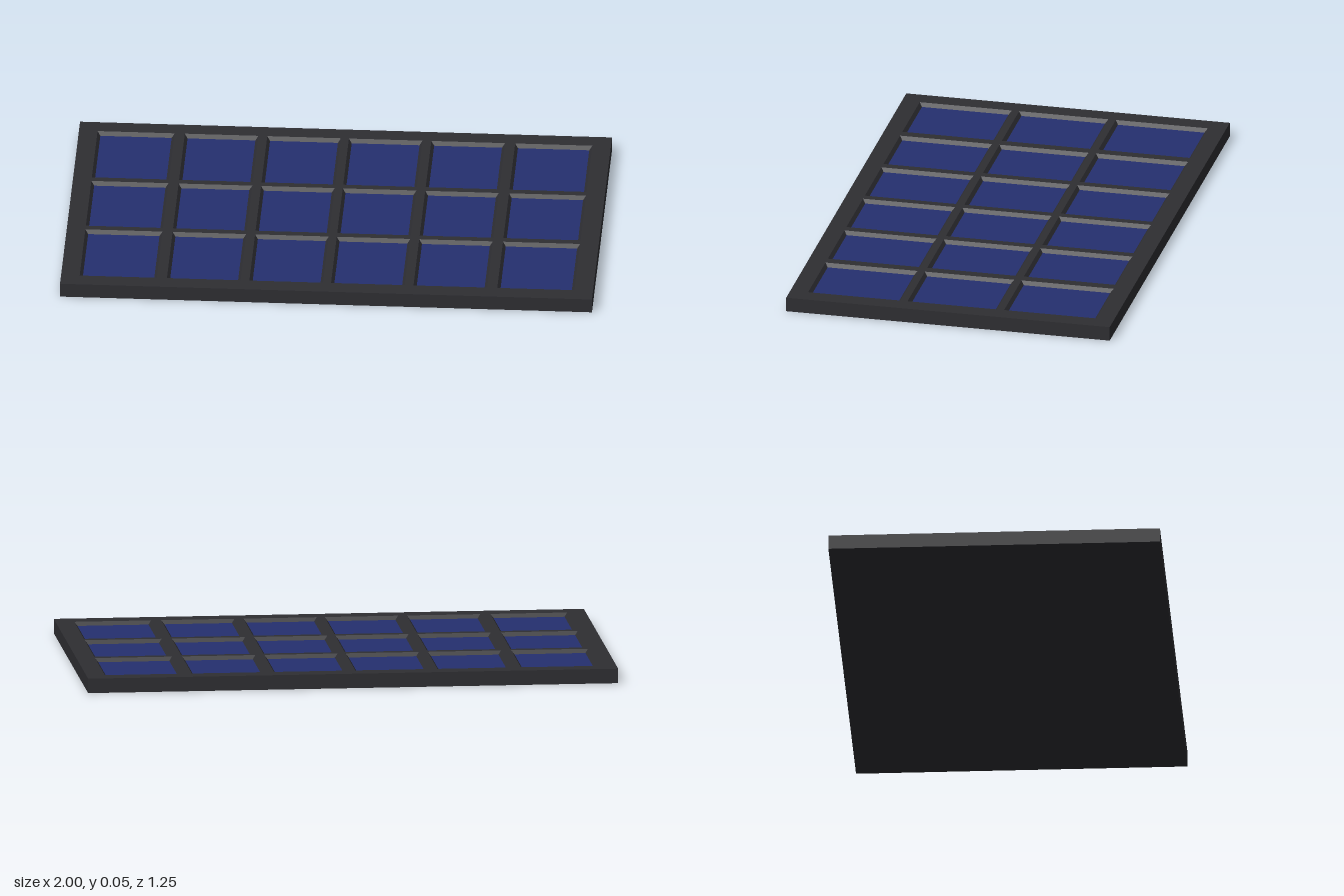
import * as THREE from 'three';

const W = 2, D = 1.246, H = 0.055; // overall size
const DEPTH = 0.014, SLOPE = 0.011; // recess depth and inward lean of its walls

// Opening edges along x (6 columns) and z (3 rows)
const halfColumns = [[0.015, 0.292], [0.325, 0.602], [0.64, 0.93]];
const columns = [...halfColumns.map(([a, b]) => [-b, -a]), ...halfColumns];
const rows = [[-0.555, -0.2], [-0.172, 0.172], [0.2, 0.555]];

const frameMaterial = new THREE.MeshStandardMaterial({ color: 0x2e2e32 });
const cellMaterial = new THREE.MeshStandardMaterial({ color: 0x25306f });

// Corners of a rectangle, running counter-clockwise seen from above
function ring(x0, x1, z0, z1, y) {
  return [[x0, y, z1], [x1, y, z1], [x1, y, z0], [x0, y, z0]];
}

// Four flat walls joining a lower ring to an upper one, facing outward
function walls(lower, upper) {
  const points = [];
  for (let i = 0; i < 4; i++) {
    const j = (i + 1) % 4;
    points.push(lower[i], lower[j], upper[j], lower[i], upper[j], upper[i]);
  }
  const geometry = new THREE.BufferGeometry();
  geometry.setAttribute('position', new THREE.Float32BufferAttribute(points.flat(), 3));
  geometry.computeVertexNormals();
  return geometry;
}

function rectangle(PathType, x0, x1, z0, z1) {
  return new PathType([[x0, z0], [x1, z0], [x1, z1], [x0, z1]].map(([x, z]) => new THREE.Vector2(x, -z)));
}

export function createModel() {
  const model = new THREE.Group();
  model.name = 'solarPanel';
  const add = (parent, name, geometry, material) => {
    const mesh = new THREE.Mesh(geometry, material);
    mesh.name = name;
    parent.add(mesh);
    return mesh;
  };

  // Outer frame: sides, flat underside and top grid
  const outline = [-W / 2, W / 2, -D / 2, D / 2];
  add(model, 'frameSides', walls(ring(...outline, 0), ring(...outline, H)), frameMaterial);
  add(model, 'underside', new THREE.PlaneGeometry(W, D).rotateX(Math.PI / 2), frameMaterial);
  const grid = rectangle(THREE.Shape, ...outline);

  // Recessed cells with sloping walls
  const floor = H - DEPTH;
  for (const [z0, z1] of rows) {
    for (const [x0, x1] of columns) {
      grid.holes.push(rectangle(THREE.Path, x0, x1, z0, z1));
      const inner = [x0 + SLOPE, x1 - SLOPE, z0 + SLOPE, z1 - SLOPE];
      const cell = new THREE.Group();
      cell.name = 'cell';
      model.add(cell);
      // Upper ring first, so the walls face into the recess
      add(cell, 'recessWalls', walls(ring(x0, x1, z0, z1, H), ring(...inner, floor)), frameMaterial);
      const face = new THREE.PlaneGeometry(inner[1] - inner[0], inner[3] - inner[2]).rotateX(-Math.PI / 2);
      add(cell, 'cellFace', face, cellMaterial).position.set((x0 + x1) / 2, floor, (z0 + z1) / 2);
    }
  }
  add(model, 'frameGrid', new THREE.ShapeGeometry(grid).rotateX(-Math.PI / 2), frameMaterial).position.y = H;

  return model;
}
